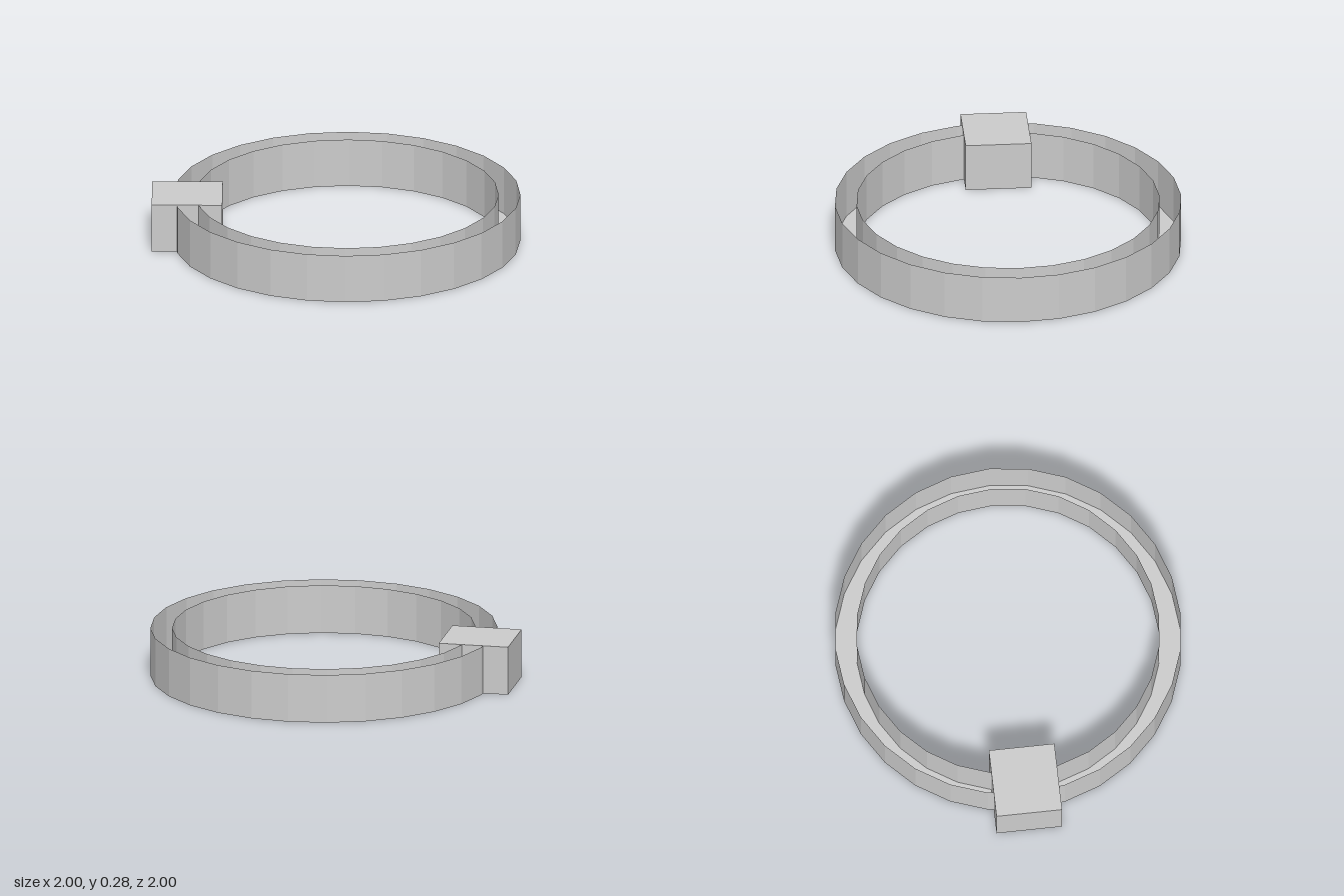
import * as THREE from 'three';

export function createModel() {
  const model = new THREE.Group();
  const height = 0.285;
  const sides = 28;
  const outer = 1;
  const inner = 0.875;

  const material = new THREE.MeshStandardMaterial({
    color: 0xcccccc,
    flatShading: true,
    side: THREE.DoubleSide,
  });

  // Faceted band: inner wall, floor and outer wall, open along the top
  const profile = [
    [inner, height],
    [inner, 0],
    [outer, 0],
    [outer, height],
  ].map(([r, y]) => new THREE.Vector2(r, y));
  const band = new THREE.Mesh(new THREE.LatheGeometry(profile, sides), material);
  band.name = 'band';
  model.add(band);

  // Block straddling the band, three facets round from the back
  const angle = (3 / sides) * Math.PI * 2;
  const radius = 0.921;
  const block = new THREE.Mesh(new THREE.BoxGeometry(0.38, height, 0.407), material);
  block.name = 'claspBlock';
  block.position.set(-radius * Math.sin(angle), height / 2, -radius * Math.cos(angle));
  block.rotation.y = angle;
  model.add(block);

  return model;
}
